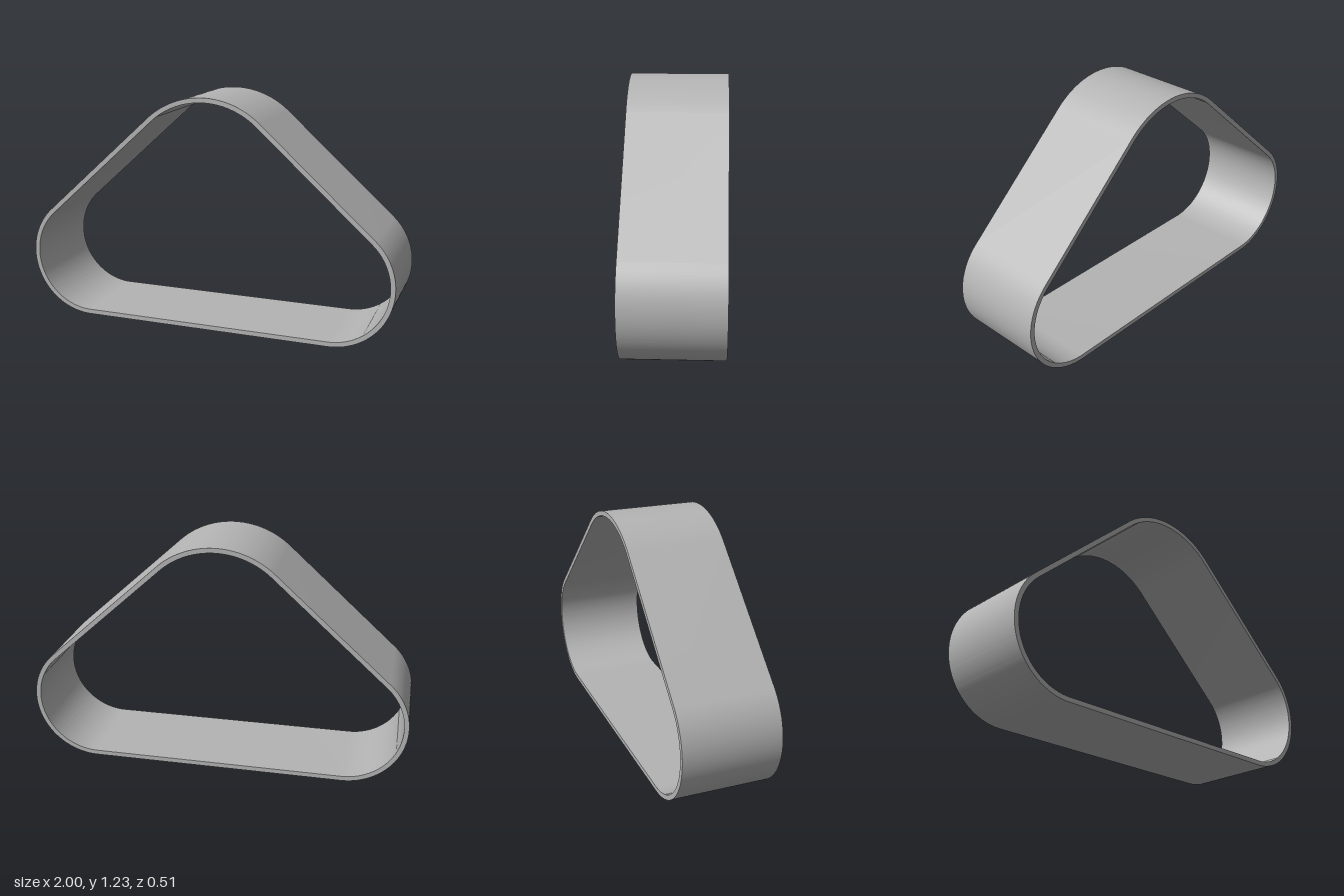
import * as THREE from 'three';
import { toCreasedNormals } from 'three/addons/utils/BufferGeometryUtils.js';

const DEPTH = 0.506, WALL = 0.025;
const TOP = { y: 0.775, r: 0.45 };            // crown arc, centred on x = 0
const SIDE = { x: 0.67, y: 0.33, r: 0.33 };   // lower corner arcs, mirrored in x

// Rounded triangle: three arcs joined by their common tangents, inset by a distance
function loop(path, inset) {
  const dx = SIDE.x, dy = SIDE.y - TOP.y;
  const a = Math.atan2(dy, dx) + Math.acos((TOP.r - SIDE.r) / Math.hypot(dx, dy));
  path.absarc(SIDE.x, SIDE.y, SIDE.r - inset, -Math.PI / 2, a, false);
  path.absarc(0, TOP.y, TOP.r - inset, a, Math.PI - a, false);
  path.absarc(-SIDE.x, SIDE.y, SIDE.r - inset, Math.PI - a, Math.PI * 1.5, false);
  path.closePath();
  return path;
}

export function createModel() {
  const group = new THREE.Group();
  group.name = 'roundedTriangleBand';
  const grey = new THREE.MeshStandardMaterial({ color: 0xb4b4b4 });
  grey.name = 'grey';

  // Thin band extruded front to back, smooth around the bends and sharp at the rims
  const outline = loop(new THREE.Shape(), 0);
  outline.holes.push(loop(new THREE.Path(), WALL));
  const geometry = new THREE.ExtrudeGeometry(outline, { depth: DEPTH, bevelEnabled: false, curveSegments: 40 });
  geometry.translate(0, 0, -DEPTH / 2);

  const band = new THREE.Mesh(toCreasedNormals(geometry, 0.6), grey);
  band.name = 'band';
  group.add(band);
  return group;
}
